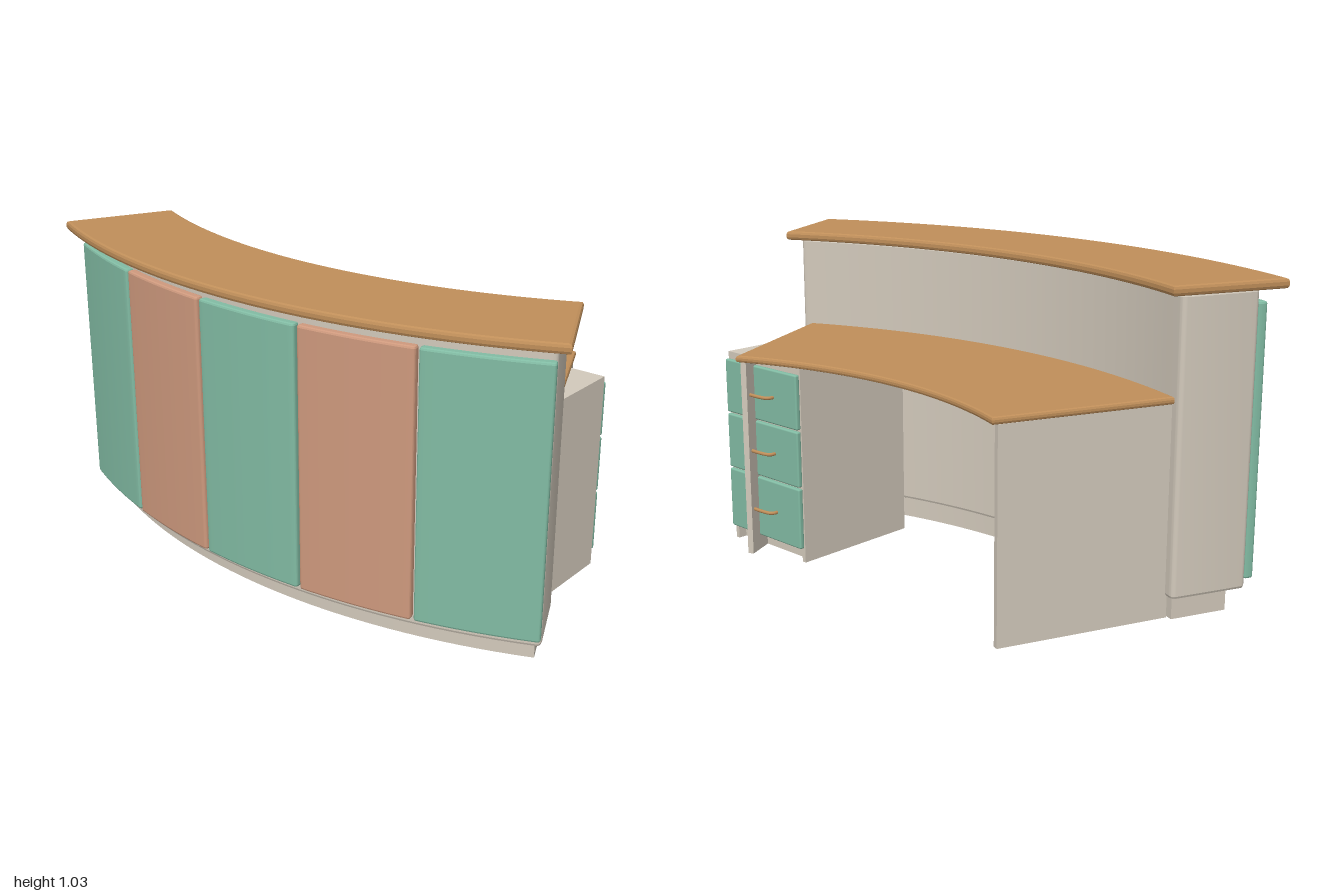
import * as THREE from 'three';
import { toCreasedNormals } from 'three/addons/utils/BufferGeometryUtils.js';
import { RoundedBoxGeometry } from 'three/addons/geometries/RoundedBoxGeometry.js';

const CENTRE_Z = -1.78; // every curved part shares this arc centre
const rad = THREE.MathUtils.degToRad;

const material = (name, color) => {
  const m = new THREE.MeshStandardMaterial({ color });
  m.name = name;
  return m;
};

// Ring sector between two radii and two angles (degrees from +z), with
// softened top and bottom edges and optional rounded upright corners.
function arcSlab(rIn, rOut, a0, a1, y0, y1, bevel, corner = 0) {
  const pts = [];
  const at = (r, a) => new THREE.Vector2(r * Math.sin(a), -r * Math.cos(a));
  const s = rad(a0), e = rad(a1), steps = 32;
  const arc = (r, from, to) => {
    for (let i = 0; i <= steps; i++) pts.push(at(r, from + (to - from) * i / steps));
  };
  const round = (p, mid, q) => {
    if (corner) pts.push(...new THREE.QuadraticBezierCurve(p, mid, q).getPoints(8).slice(1, -1));
  };
  const co = corner / rOut, ci = corner / rIn;
  arc(rOut, s + co, e - co);
  round(at(rOut, e - co), at(rOut, e), at(rOut - corner, e));
  if (corner) pts.push(at(rOut - corner, e), at(rIn + corner, e));
  round(at(rIn + corner, e), at(rIn, e), at(rIn, e - ci));
  arc(rIn, e - ci, s + ci);
  round(at(rIn, s + ci), at(rIn, s), at(rIn + corner, s));
  if (corner) pts.push(at(rIn + corner, s), at(rOut - corner, s));
  round(at(rOut - corner, s), at(rOut, s), at(rOut, s + co));

  const geo = new THREE.ExtrudeGeometry(new THREE.Shape(pts), {
    depth: y1 - y0 - 2 * bevel, bevelEnabled: bevel > 0, bevelThickness: bevel,
    bevelSize: bevel, bevelOffset: -bevel, bevelSegments: 2,
  });
  geo.rotateX(-Math.PI / 2);
  geo.translate(0, y0 + bevel, CENTRE_Z);
  return toCreasedNormals(geo, 0.36);
}

export function createModel() {
  const model = new THREE.Group();
  model.name = 'receptionDesk';
  const wood = material('wood', 0xc08f5a);
  const beige = material('beige laminate', 0xd3cabc);
  const green = material('green', 0x82bca4);
  const terracotta = material('terracotta', 0xcf9a7e);

  const add = (name, geo, mat, parent = model) => {
    const mesh = new THREE.Mesh(geo, mat);
    mesh.name = name;
    parent.add(mesh);
    return mesh;
  };
  // Box given by its minimum and maximum corners
  const box = (name, a, b, mat, parent, round = 0) => {
    const size = a.map((v, i) => b[i] - v);
    const geo = round ? new RoundedBoxGeometry(...size, 2, round) : new THREE.BoxGeometry(...size);
    const mesh = add(name, geo, mat, parent);
    mesh.position.set(...a.map((v, i) => (v + b[i]) / 2));
    return mesh;
  };

  // Curved counter: plinth, body and wooden top
  add('plinth', arcSlab(1.975, 2.165, -24.27, 24.27, 0, 0.075, 0), beige);
  add('counterBody', arcSlab(1.962, 2.22, -24.9, 24.9, 0.07, 1.0, 0.01, 0.02), beige);
  add('counterTop', arcSlab(1.909, 2.289, -25.9, 25.9, 1.0, 1.031, 0.01), wood);

  // Five alternating front panels
  for (let i = 0; i < 5; i++) {
    const mid = (i - 2) * 10;
    add('frontPanel' + (i + 1), arcSlab(2.215, 2.247, mid - 4.88, mid + 4.88, 0.1, 0.96, 0.007, 0.011),
      i % 2 ? terracotta : green);
  }

  // Lower work surface with a radial side panel at each end
  add('deskTop', arcSlab(1.383, 1.966, -24.07, 24.07, 0.67, 0.693, 0.008), wood);
  for (const side of [-1, 1]) {
    const angle = side * rad(23.45), r = 1.686;
    const panel = add(side > 0 ? 'leftSidePanel' : 'rightSidePanel',
      new THREE.BoxGeometry(0.02, 0.67, 0.565), beige);
    panel.position.set(r * Math.sin(angle), 0.335, CENTRE_Z + r * Math.cos(angle));
    panel.rotation.y = angle;
  }

  // Drawer cabinet standing on two sides with a recessed toe board
  const cabinet = new THREE.Group();
  cabinet.name = 'drawerCabinet';
  model.add(cabinet);
  const x0 = 0.355, x1 = 0.725, zf = -0.423, zb = 0.04;
  box('cabinetBody', [x0 + 0.015, 0.045, zf], [x1 - 0.015, 0.669, zb], beige, cabinet);
  box('toeBoard', [x0 + 0.015, 0, zf + 0.03], [x1 - 0.015, 0.045, zb], beige, cabinet);
  box('cabinetSideInner', [x0, 0, zf], [x0 + 0.015, 0.669, zb], beige, cabinet);
  box('cabinetSideOuter', [x1 - 0.015, 0, zf], [x1, 0.669, zb], beige, cabinet);

  // Drawer fronts with bow handles
  const xm = (x0 + x1) / 2;
  [[0.05, 0.259], [0.265, 0.455], [0.461, 0.646]].forEach(([y0, y1], i) => {
    box('drawerFront' + (i + 1), [x0 + 0.002, y0, -0.441], [x1 - 0.002, y1, zf], green, cabinet, 0.006);
    const y = (y0 + y1) / 2;
    const path = new THREE.CatmullRomCurve3([
      [-0.065, -0.435], [-0.065, -0.453], [-0.055, -0.464],
      [0.055, -0.464], [0.065, -0.453], [0.065, -0.435],
    ].map(([x, z]) => new THREE.Vector3(xm + x, y, z)), false, 'centripetal');
    add('drawerHandle' + (i + 1), new THREE.TubeGeometry(path, 28, 0.006, 8), wood, cabinet);
  });

  return model;
}
